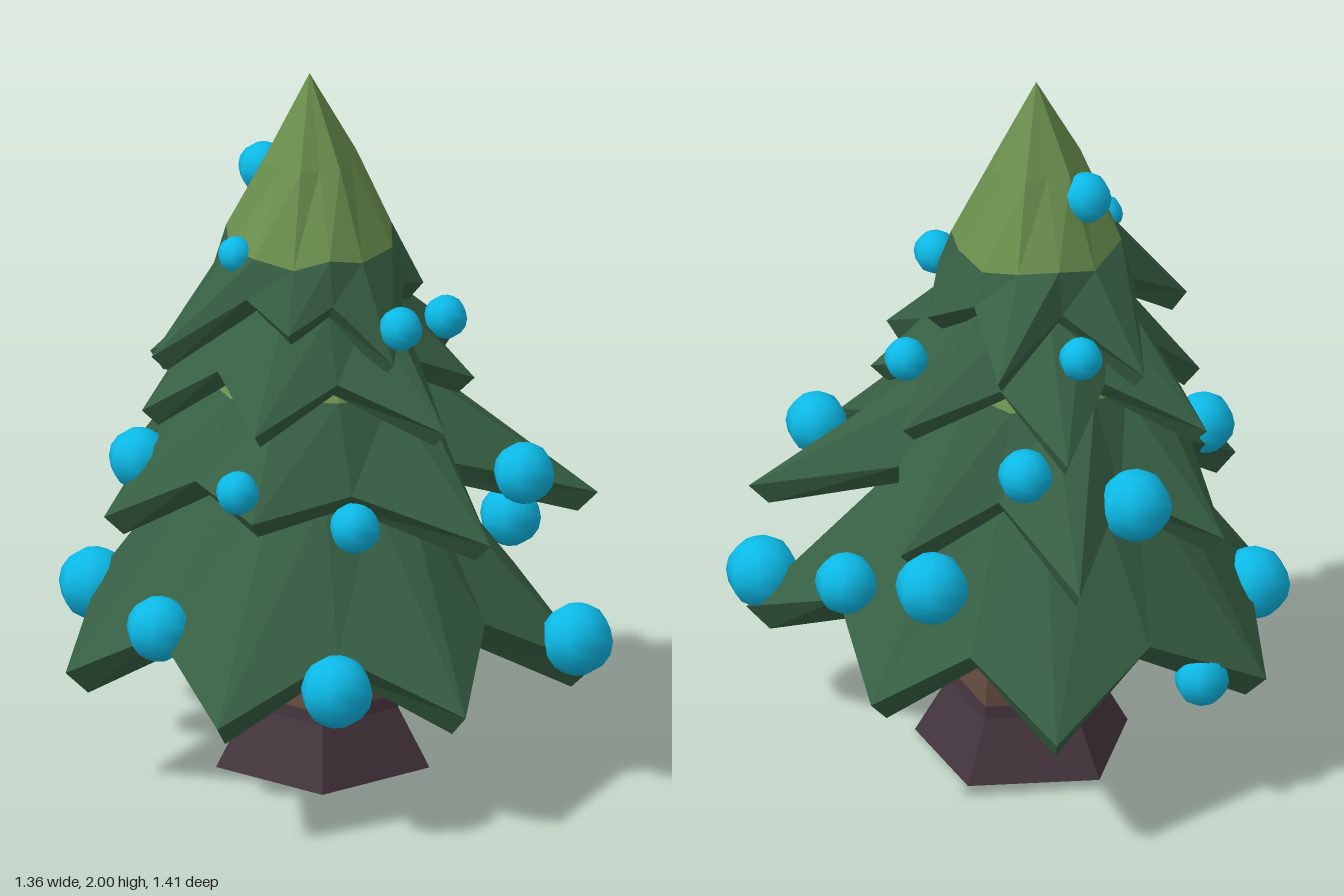
import * as THREE from 'three';

const mat = (name, color) => Object.assign(new THREE.MeshStandardMaterial({ color }), { name });
const CZ = -0.05; // z of the tree's axis

// Joins rings of points (ordered top to bottom) into a flat-shaded skin
function skin(rings) {
  const pos = [];
  const tri = (...pts) => pts.forEach((p) => pos.push(...p));
  for (let k = 0; k + 1 < rings.length; k++) {
    const u = rings[k], l = rings[k + 1], n = u.length;
    for (let i = 0; i < n; i++) {
      const j = (i + 1) % n;
      tri(u[i], l[j], l[i]);
      if (u[i] !== u[j]) tri(u[i], u[j], l[j]);
    }
  }
  const g = new THREE.BufferGeometry();
  g.setAttribute('position', new THREE.Float32BufferAttribute(pos, 3));
  g.computeVertexNormals();
  return g;
}

// Star outline of a tier: given branch tips plus a notch after each
function outline(tips, notchR, notchY) {
  const pts = tips
    .map(([x, z, y]) => ({ a: Math.atan2(z - CZ, x), r: Math.hypot(x, z - CZ), y }))
    .sort((p, q) => p.a - q.a);
  return pts.flatMap((p, i) => {
    const last = i === pts.length - 1;
    const next = pts[(i + 1) % pts.length].a + (last ? Math.PI * 2 : 0);
    return [p, { a: (p.a + next) / 2, r: notchR, y: notchY }];
  });
}

// apex: height of the point; mid: optional bulge; border: where the colour changes
const TIERS = [
  {
    name: 'bottomBranches', apex: 1.3, border: [0.31, 0.88], notch: [0.575, 0.52], rim: 0.065,
    tips: [[0.57, 0.5, 0.34], [0.035, 0.7, 0.36], [-0.597, 0.44, 0.37], [-0.68, -0.21, 0.34],
      [-0.28, -0.71, 0.35], [0.42, -0.685, 0.36], [0.675, -0.19, 0.36]],
  },
  {
    name: 'lowerMiddleBranches', apex: 1.55, border: [0.295, 1.145], notch: [0.425, 0.925], rim: 0.055,
    tips: [[0.655, 0.38, 0.79], [0.19, 0.58, 0.79], [-0.4, 0.3, 0.88], [-0.545, -0.23, 0.76],
      [-0.19, -0.64, 0.78], [0.33, -0.67, 0.78], [0.59, -0.21, 0.8]],
  },
  {
    name: 'upperMiddleBranches', apex: 1.7, border: [0.22, 1.375], notch: [0.33, 1.215], rim: 0.045,
    tips: [[0.52, -0.13, 1.13], [0.36, 0.22, 1.13], [0.12, 0.46, 1.09], [-0.36, 0.25, 1.11],
      [-0.43, -0.22, 1.05], [-0.2, -0.55, 1.07], [0.24, -0.5, 1.08]],
  },
  {
    name: 'topBranches', apex: 2, mid: [0.13, 1.76], border: [0.235, 1.525], notch: [0.27, 1.42], rim: 0.045,
    tips: [[-0.455, -0.13, 1.24], [-0.21, 0.18, 1.35], [0.04, 0.32, 1.26], [0.32, 0.02, 1.35],
      [0.37, -0.36, 1.32], [-0.04, -0.48, 1.26]],
  },
];

// Baubles: x, y, z, radius
const BAUBLES = [
  [-0.445, 0.48, -0.44, 0.1], [0.03, 0.91, -0.53, 0.1], [-0.12, 0.37, -0.63, 0.075],
  [-0.42, 0.9, -0.25, 0.085], [0.52, 0.7, -0.26, 0.1], [0.595, 0.62, 0.025, 0.085],
  [-0.555, 0.535, 0.07, 0.09], [-0.265, 0.44, 0.52, 0.1], [0.515, 0.43, 0.5, 0.1],
  [0.41, 0.9, 0.395, 0.085], [-0.415, 0.96, 0.25, 0.06], [-0.105, 0.83, 0.355, 0.07],
  [0.075, 1.355, 0.3, 0.06], [0.385, 1.24, 0.03, 0.06], [-0.235, 1.52, -0.05, 0.05],
  [-0.055, 1.69, -0.2, 0.07], [0.09, 1.31, -0.365, 0.06], [0.285, 1.015, -0.37, 0.075],
];

export function createModel() {
  const model = new THREE.Group();
  model.name = 'decoratedTree';
  const light = mat('light green', 0x6b904e);
  const dark = mat('dark green', 0x376044);
  const bark = mat('bark brown', 0x654d42);
  const root = mat('root brown', 0x44353d);
  const blue = mat('bauble blue', 0x0cbcea);

  const add = (name, geometry, material, parent = model) => {
    const mesh = new THREE.Mesh(geometry, material);
    mesh.name = name;
    parent.add(mesh);
    return mesh;
  };

  // Five-sided trunk with a flared foot
  const trunk = new THREE.Group();
  trunk.name = 'trunk';
  trunk.position.set(0.055, 0, -0.07);
  model.add(trunk);
  const section = (name, rTop, rBottom, y0, y1, material, open) => {
    const g = new THREE.CylinderGeometry(rTop, rBottom, y1 - y0, 5, 1, open, THREE.MathUtils.degToRad(-32)).toNonIndexed();
    g.computeVertexNormals();
    add(name, g, material, trunk).position.y = (y0 + y1) / 2;
  };
  section('trunkFoot', 0.215, 0.305, 0, 0.165, root, false);
  section('trunkFootBand', 0.21, 0.215, 0.165, 0.2, root, true);
  section('trunkStem', 0.165, 0.21, 0.2, 0.9, bark, true);

  // Branch tiers: light cap, dark skirt with a thick rim and a hollow underside
  for (const t of TIERS) {
    const group = new THREE.Group();
    group.name = t.name;
    model.add(group);
    const edge = outline(t.tips, ...t.notch);
    const ring = (f) => edge.map((p, i) => {
      const [r, y] = f(p, i);
      return [r * Math.cos(p.a), y, CZ + r * Math.sin(p.a)];
    });
    const tip = [0, t.apex, CZ];
    const border = ring((p, i) => [t.border[0], t.border[1] + 0.015 * Math.sin(i * 2.3)]);
    const cap = [edge.map(() => tip)];
    if (t.mid) cap.push(ring((p, i) => [t.mid[0] + (i % 2 ? -0.012 : 0.005), t.mid[1]]));
    cap.push(border);
    add('needleCap', skin(cap), light, group);
    add('needleSkirt', skin([
      border,
      ring((p) => [p.r, p.y]),
      ring((p) => [p.r - t.rim, p.y - t.rim]),
      ring(() => [0.12, t.border[1] - 0.02]),
    ]), dark, group);
  }

  // Hanging baubles
  const baubles = new THREE.Group();
  baubles.name = 'baubles';
  model.add(baubles);
  for (const [x, y, z, r] of BAUBLES) {
    add('bauble', new THREE.SphereGeometry(r, 8, 8), blue, baubles).position.set(x, y, z);
  }
  return model;
}
